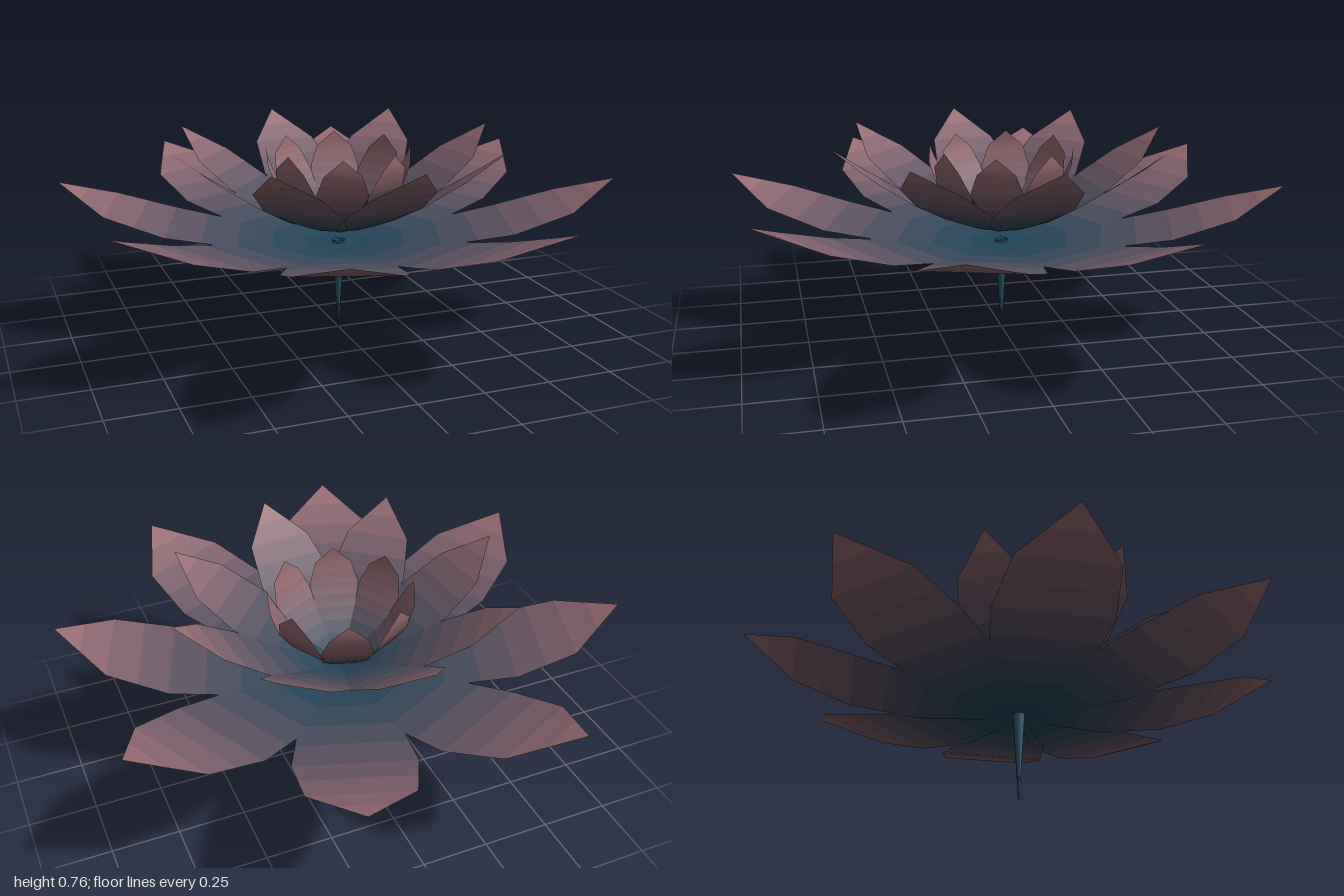
import * as THREE from 'three';

const BASE = new THREE.Color(0x1d4458);
const TIP = new THREE.Color(0x9c6e75);
const STEPS = 2; // colour bands per petal segment

// Each ring: stations along a petal as [radius, height, halfWidth], and the first petal's angle in degrees.
const RINGS = [
  {
    name: 'outerPetal', angle: 18.8,
    stations: [[0.02, 0.35, 0.01], [0.12, 0.35, 0.07], [0.38, 0.385, 0.18], [0.64, 0.435, 0.215], [0.86, 0.505, 0.18], [1.055, 0.595, 0]],
  },
  {
    name: 'middlePetal', angle: 40,
    stations: [[0.02, 0.395, 0.01], [0.1, 0.42, 0.05], [0.22, 0.475, 0.115], [0.37, 0.555, 0.15], [0.52, 0.655, 0.125], [0.655, 0.76, 0]],
  },
  {
    name: 'innerPetal', angle: 17,
    stations: [[0.02, 0.405, 0.01], [0.1, 0.45, 0.045], [0.18, 0.52, 0.085], [0.235, 0.595, 0.095], [0.265, 0.67, 0.07], [0.272, 0.73, 0]],
  },
];

// Adds evenly spaced rows between the stations.
function subdivide(stations) {
  const rows = [];
  for (let i = 0; i < stations.length - 1; i++) {
    for (let s = 0; s < STEPS; s++) {
      rows.push(stations[i].map((v, k) => THREE.MathUtils.lerp(v, stations[i + 1][k], s / STEPS)));
    }
  }
  rows.push(stations[stations.length - 1]);
  return rows;
}

// One petal pointing along +x, split into bands that shade from base to tip.
function makePetalBands(stations) {
  const rows = subdivide(stations);
  const positions = [];
  const index = [];
  rows.forEach(([r, y, w], i) => {
    positions.push(r, y, -w, r, y, w);
    if (i === rows.length - 1) return;
    const a = i * 2;
    index.push(a, a + 1, a + 3);
    index.push(a, a + 3, a + 2);
  });
  const petal = new THREE.BufferGeometry();
  petal.setAttribute('position', new THREE.Float32BufferAttribute(positions, 3));
  petal.setIndex(index);
  petal.computeVertexNormals();
  // the two tip corners coincide, so share the normal of the row before
  const n = petal.attributes.normal;
  const last = n.count - 1;
  for (const k of [last, last - 1]) n.setXYZ(k, n.getX(last - 2), n.getY(last - 2), n.getZ(last - 2));

  const tipRadius = rows[rows.length - 1][0];
  return rows.slice(0, -1).map((row, i) => {
    const geometry = petal.clone().setIndex(index.slice(i * 6, i * 6 + 6));
    const t = (row[0] + rows[i + 1][0]) / 2 / tipRadius;
    const material = new THREE.MeshStandardMaterial({
      color: BASE.clone().lerp(TIP, t * t),
      side: THREE.DoubleSide,
    });
    return { geometry, material };
  });
}

export function createModel() {
  const model = new THREE.Group();
  model.name = 'waterLily';

  // Three rings of eight petals
  for (const { name, angle, stations } of RINGS) {
    const ring = new THREE.Group();
    ring.name = name + 'Ring';
    const bands = makePetalBands(stations);
    for (let i = 0; i < 8; i++) {
      const petal = new THREE.Group();
      petal.name = name;
      for (const { geometry, material } of bands) {
        const band = new THREE.Mesh(geometry, material);
        band.name = name + 'Band';
        petal.add(band);
      }
      petal.rotation.y = -THREE.MathUtils.degToRad(angle + i * 45);
      ring.add(petal);
    }
    model.add(ring);
  }

  // Stem tapering to a point
  const stem = new THREE.Mesh(
    new THREE.CylinderGeometry(0.025, 0.002, 0.36, 8, 1, true),
    new THREE.MeshStandardMaterial({ color: 0x2c566a, side: THREE.DoubleSide })
  );
  stem.name = 'stem';
  stem.position.y = 0.18;
  model.add(stem);

  return model;
}
